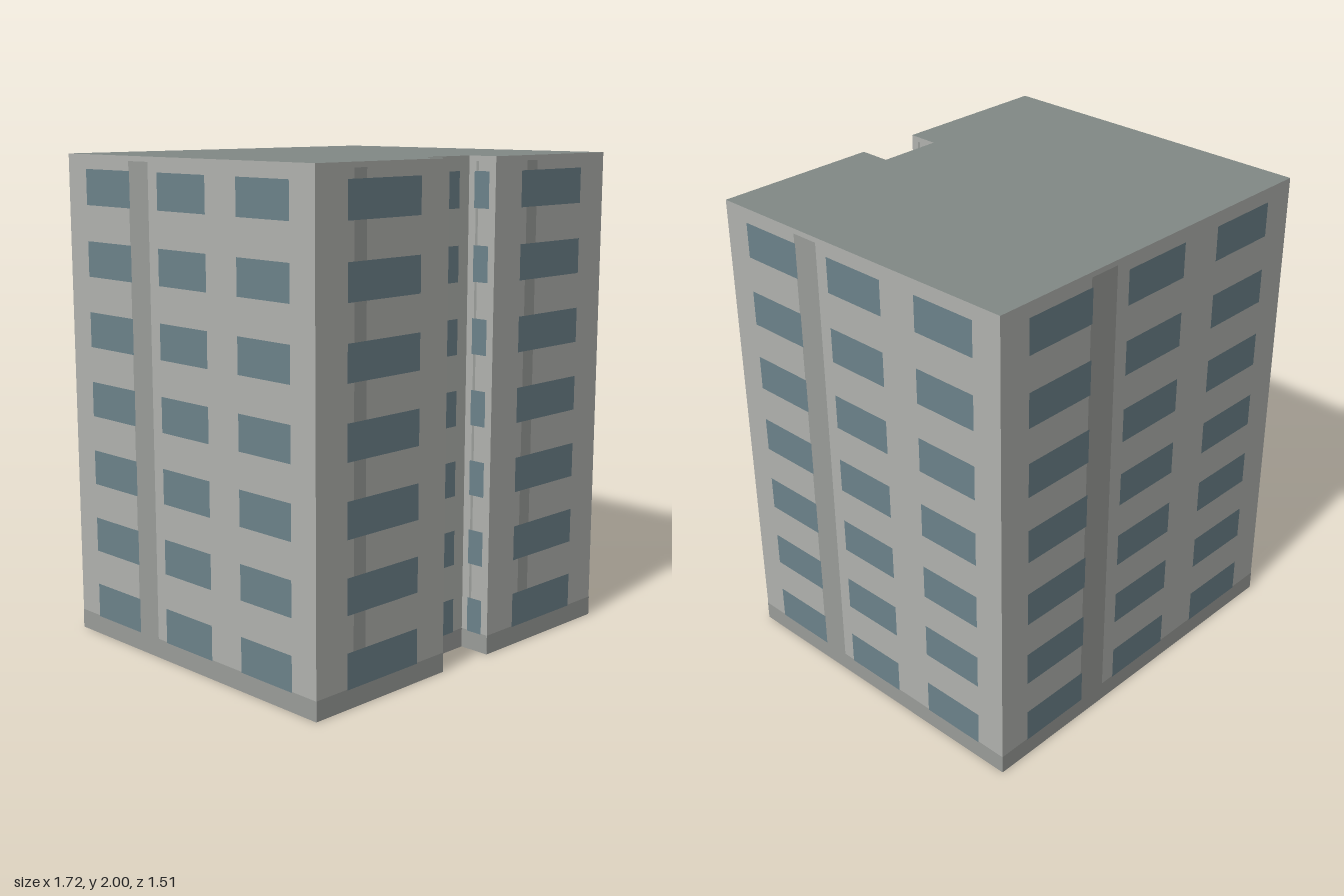
import * as THREE from 'three';

const HEIGHT = 2, FLOORS = 7, FLOOR_STEP = 0.287;

const paint = (color) => new THREE.MeshStandardMaterial({ color, side: THREE.DoubleSide });
const wallPaint = paint(0xb0b2ae);
const trimPaint = paint(0x9a9c99);
const glassPaint = paint(0x6c828a);
const roofPaint = paint(0x818986);

// Footprint corners (x, z), walked so that every wall runs left to right seen from outside
const footprint = [
  ['frontRightWing', -0.857, 0.667],
  ['recessRightSide', -0.165, 0.703],
  ['recessBack', -0.157, 0.573],
  ['recessLeftSide', 0.11, 0.586],
  ['frontLeftWing', 0.104, 0.718],
  ['leftWall', 0.8, 0.755],
  ['backWall', 0.857, -0.672],
  ['rightWall', -0.78, -0.757],
];

// Window bays and vertical strip, as fractions of the wall length
const singleBay = { bays: [[0.225, 0.775]], strip: [0.275, 0.365] };
const tripleBay = { bays: [[0.084, 0.281], [0.4, 0.596], [0.716, 0.912]], strip: [0.277, 0.361] };

// Flat rectangle on a wall, from (x0, y0) to (x1, y1)
function panel(name, material, x0, x1, y0, y1, z) {
  const mesh = new THREE.Mesh(new THREE.PlaneGeometry(x1 - x0, y1 - y0), material);
  mesh.position.set((x0 + x1) / 2, (y0 + y1) / 2, z);
  mesh.name = name;
  return mesh;
}

function createWall(name, length, { bays, strip }) {
  const wall = new THREE.Group();
  wall.name = name;
  wall.add(panel('wallFace', wallPaint, 0, length, 0, HEIGHT, 0));
  wall.add(panel('plinth', trimPaint, 0, length, 0, 0.08, 0.0015));
  wall.add(panel('verticalStrip', trimPaint, strip[0] * length, strip[1] * length, 0.08, 1.98, 0.0015));
  for (let floor = 0; floor < FLOORS; floor++) {
    const sill = 0.077 + floor * FLOOR_STEP;
    for (const [a, b] of bays) {
      wall.add(panel('window', glassPaint, a * length, b * length, sill, sill + 0.143, 0.003));
    }
  }
  return wall;
}

export function createModel() {
  const building = new THREE.Group();
  building.name = 'apartmentBlock';

  // Walls, open at the bottom
  footprint.forEach(([name, x, z], i) => {
    const [, nextX, nextZ] = footprint[(i + 1) % footprint.length];
    const dx = nextX - x, dz = nextZ - z;
    const length = Math.hypot(dx, dz);
    const wall = createWall(name, length, length > 1 ? tripleBay : singleBay);
    wall.position.set(x, 0, z);
    wall.rotation.y = Math.atan2(-dz, dx);
    building.add(wall);
  });

  // Flat roof following the footprint
  const outline = new THREE.Shape(footprint.map(([, x, z]) => new THREE.Vector2(x, -z)));
  const roof = new THREE.Mesh(new THREE.ShapeGeometry(outline).rotateX(-Math.PI / 2), roofPaint);
  roof.position.y = HEIGHT;
  roof.name = 'roof';
  building.add(roof);

  return building;
}
